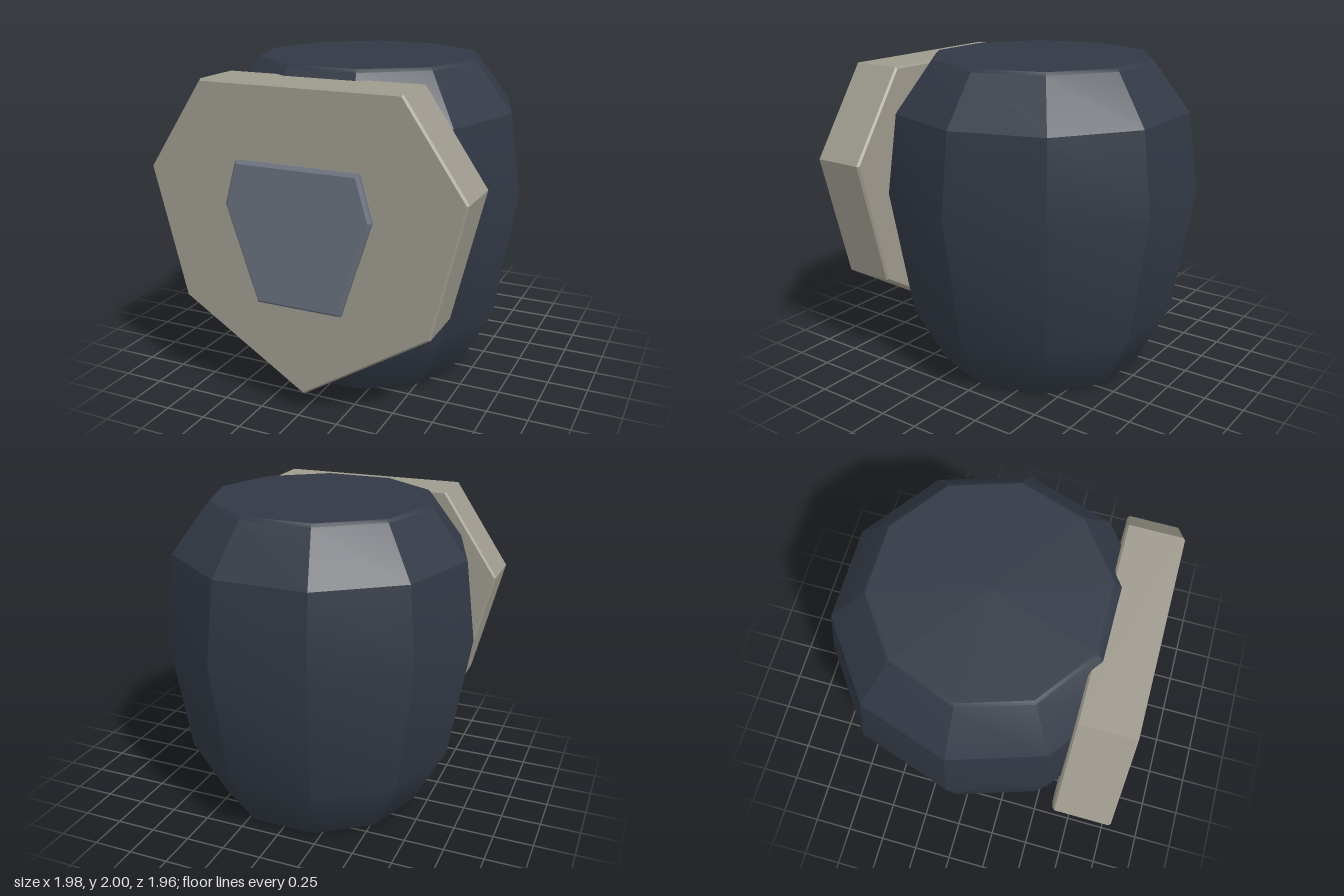
import * as THREE from 'three';
import { toCreasedNormals } from 'three/addons/utils/BufferGeometryUtils.js';

// Bevelled slab: outline in x/y, reaching from zBack to zFront
function slab(name, outline, zBack, zFront, bevel, material) {
  const shape = new THREE.Shape(outline.map(([x, y]) => new THREE.Vector2(x, y)));
  const geometry = new THREE.ExtrudeGeometry(shape, {
    depth: zFront - zBack - 2 * bevel,
    bevelEnabled: true,
    bevelThickness: bevel,
    bevelSize: bevel,
    bevelOffset: -bevel,
    bevelSegments: 1,
  });
  geometry.translate(0, 0, zBack + bevel);
  const mesh = new THREE.Mesh(geometry, material);
  mesh.name = name;
  return mesh;
}

// Mirror the right half of an outline (listed bottom to top) across x = 0
function mirrored(half) {
  const other = half.filter(([x]) => x > 0).map(([x, y]) => [-x, y]).reverse();
  return [...half, ...other];
}

export function createModel() {
  const model = new THREE.Group();
  model.name = 'facetedBarrelWithPlate';

  const darkSlate = new THREE.MeshStandardMaterial({ color: 0x323945 });
  darkSlate.name = 'darkSlate';
  const warmGrey = new THREE.MeshStandardMaterial({ color: 0x9e9a8e });
  warmGrey.name = 'warmGrey';
  const blueGrey = new THREE.MeshStandardMaterial({ color: 0x69717e });
  blueGrey.name = 'blueGrey';

  // Ten-sided barrel body with softened rims
  const profile = [
    [0, 0], [0.62, 0], [0.642, 0], [0.662, 0.015], [0.865, 0.4], [0.992, 1.2],
    [0.925, 1.69], [0.705, 1.982], [0.685, 2], [0.66, 2], [0, 2],
  ].map(([r, y]) => new THREE.Vector2(r, y));
  const lathe = new THREE.LatheGeometry(profile, 10, Math.PI / 10);
  const body = new THREE.Mesh(toCreasedNormals(lathe, 0.49), darkSlate);
  body.name = 'body';
  body.position.set(-0.003, 0, -0.035);
  model.add(body);

  // Thick seven-sided front plate
  const plate = slab('frontPlate', mirrored([
    [0, 0.11], [0.787, 0.61], [0.982, 1.4], [0.612, 1.943],
  ]), 0.605, 0.945, 0.012, warmGrey);
  plate.position.x = 0.005;
  model.add(plate);

  // Small raised six-sided panel
  model.add(slab('raisedPanel', mirrored([
    [0.265, 0.665], [0.455, 1.24], [0.38, 1.503],
  ]), 0.92, 0.982, 0.016, blueGrey));

  return model;
}
